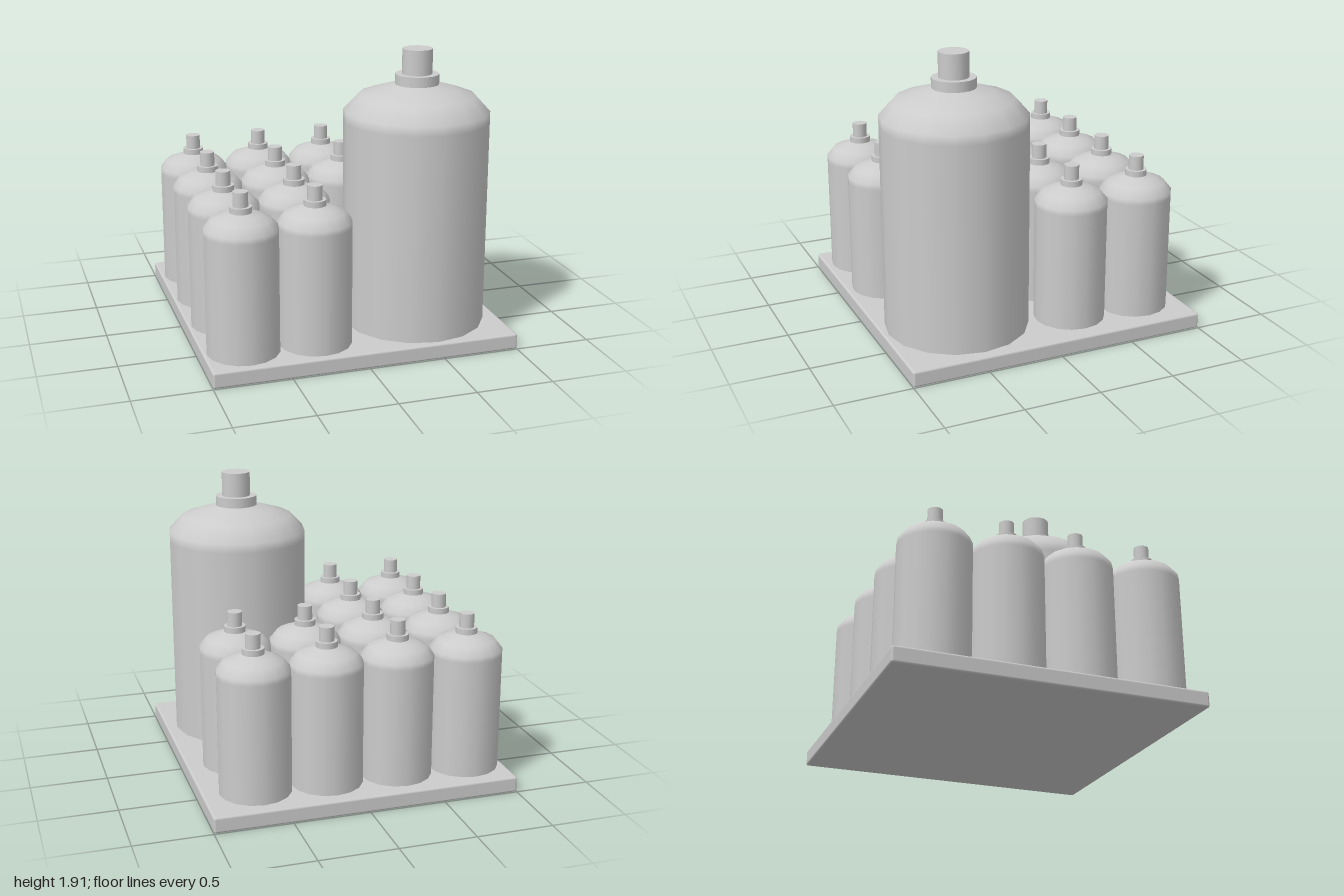
import * as THREE from 'three';
import { RoundedBoxGeometry } from 'three/addons/geometries/RoundedBoxGeometry.js';

const SIDES = 16;
const BASE_TOP = 0.105;
const material = new THREE.MeshStandardMaterial({ color: 0xcccccc });

// Straight wall, sloping shoulder up to the collar
const bodyGeometry = new THREE.LatheGeometry([
  [0.233, -0.02], [0.233, 0.4], [0.233, 0.78], [0.233, 0.815],
  [0.187, 0.872], [0.125, 0.895], [0.068, 0.914],
].map(([r, y]) => new THREE.Vector2(r, y)), SIDES);

const collarGeometry = new THREE.CylinderGeometry(0.07, 0.07, 0.045, SIDES).translate(0, 0.9285, 0);
const nozzleGeometry = new THREE.CylinderGeometry(0.048, 0.048, 0.1, SIDES).translate(0, 0.994, 0);

function part(name, geometry) {
  const mesh = new THREE.Mesh(geometry, material);
  mesh.name = name;
  return mesh;
}

function makeCanister(name, x, z, width = 1, height = 1) {
  const canister = new THREE.Group();
  canister.name = name;
  canister.add(
    part('body', bodyGeometry),
    part('collar', collarGeometry),
    part('nozzle', nozzleGeometry),
  );
  canister.position.set(x, BASE_TOP - 0.005, z);
  canister.scale.set(width, height, width);
  return canister;
}

export function createModel() {
  const model = new THREE.Group();
  model.name = 'canisterTray';

  // Square tray with softened edges
  const base = part('base', new RoundedBoxGeometry(2, BASE_TOP, 2, 2, 0.015));
  base.position.y = BASE_TOP / 2;
  model.add(base);

  // 4 x 4 grid of small canisters, leaving the front left quarter free
  const spacing = 0.469;
  for (let row = 0; row < 4; row++) {
    for (let col = 0; col < 4; col++) {
      if (row > 1 && col > 1) continue;
      model.add(makeCanister('smallCanister', -0.746 + col * spacing, -0.683 + row * spacing));
    }
  }

  // Large canister fills the free quarter
  model.add(makeCanister('largeCanister', 0.465, 0.501, 2, 1.73));
  return model;
}
